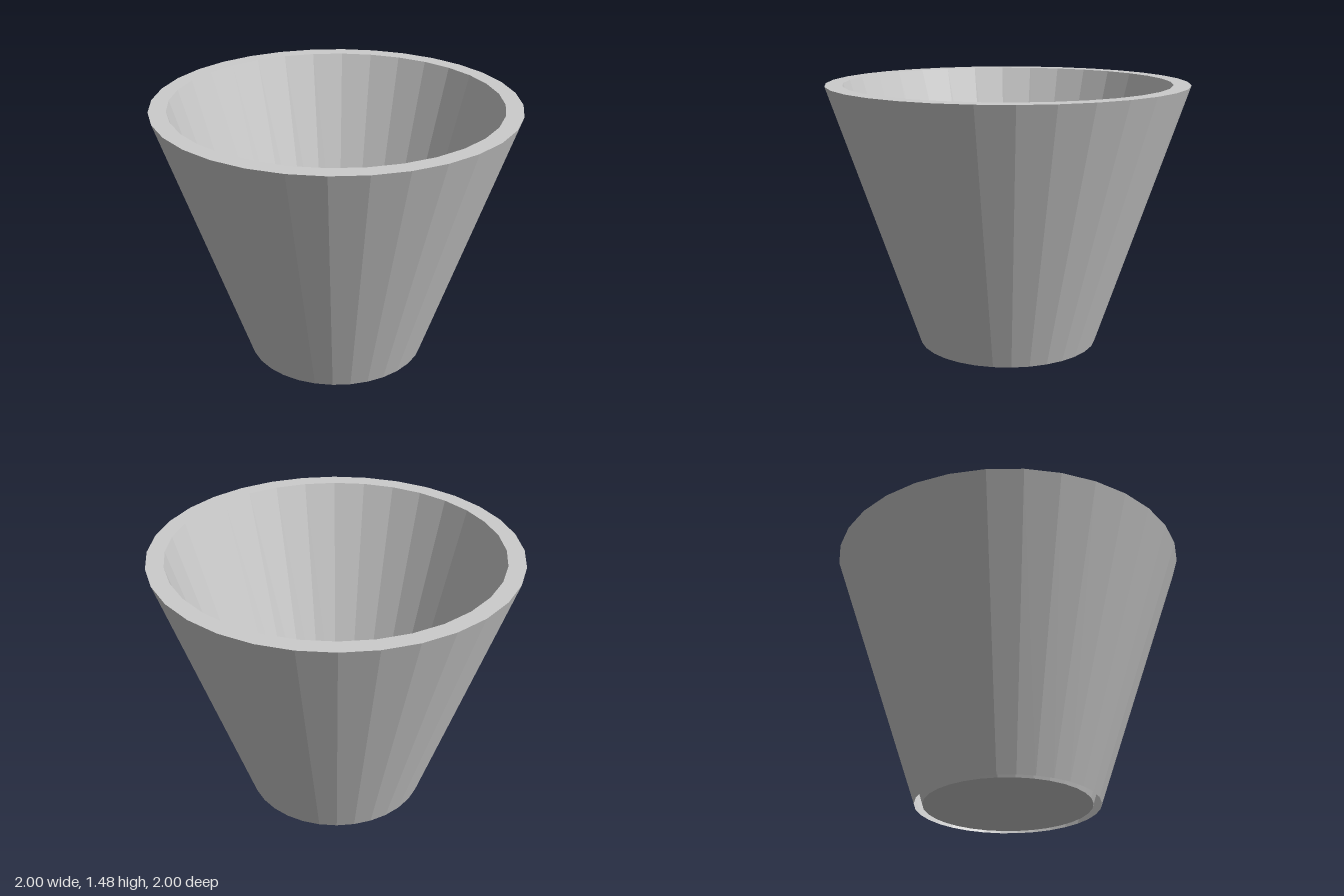
import * as THREE from 'three';

const SIDES = 32;
const HEIGHT = 1.475;

export function createModel() {
  const group = new THREE.Group();
  group.name = 'taperedPot';
  const material = new THREE.MeshStandardMaterial({
    color: 0xcccccc, flatShading: true, side: THREE.DoubleSide,
  });

  // Turns a profile of [radius, height] pairs around the y axis
  const addTurned = (name, profile) => {
    const points = profile.map(([r, y]) => new THREE.Vector2(r, y));
    const mesh = new THREE.Mesh(new THREE.LatheGeometry(points, SIDES), material);
    mesh.name = name;
    group.add(mesh);
  };

  // Outer wall, flared towards the top
  addTurned('outerWall', [[0.505, 0], [1, HEIGHT]]);
  // Flat rim joining both walls
  addTurned('rim', [[1, HEIGHT], [0.905, HEIGHT]]);
  // Inner wall, down to the floor; the gap between the walls is open below
  addTurned('innerWall', [[0.905, HEIGHT], [0.46, 0]]);
  // Floor disc
  addTurned('floor', [[0.46, 0], [0, 0]]);

  return group;
}
